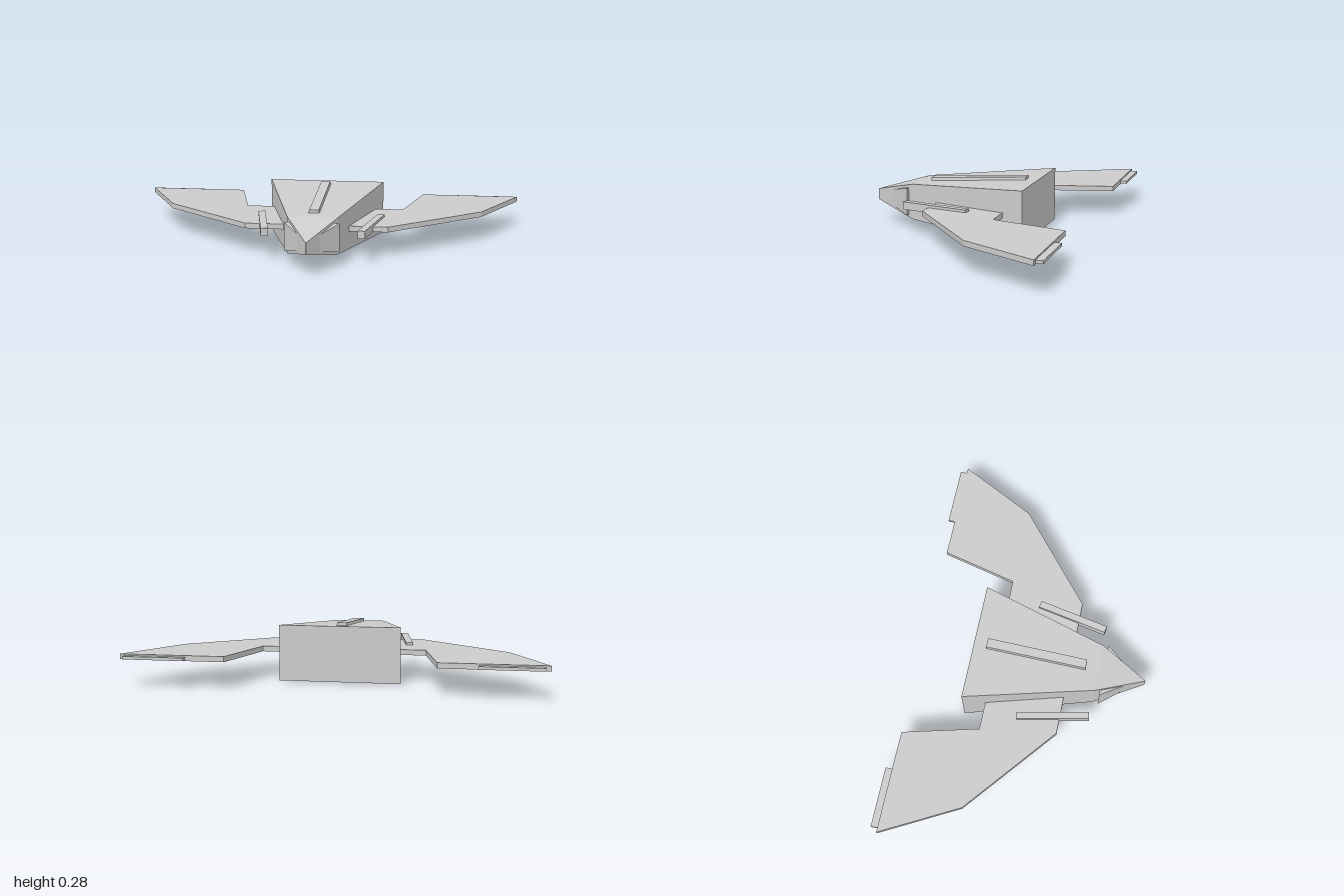
import * as THREE from 'three';

const material = new THREE.MeshStandardMaterial({ color: 0xcccccc, flatShading: true });

// Solid through four-cornered sections [z, bottom, top, xBottomLeft, xBottomRight, xTopLeft, xTopRight], back to front
function loft(sections) {
  const loops = sections.map(([z, b, t, bl, br, tl = bl, tr = br]) =>
    [[bl, b, z], [br, b, z], [tr, t, z], [tl, t, z]]);
  const positions = [];
  const quad = (a, b, c, d) => positions.push(...a, ...b, ...c, ...a, ...c, ...d);
  for (let i = 0; i < loops.length - 1; i++) {
    for (let j = 0; j < 4; j++) {
      const k = (j + 1) % 4;
      quad(loops[i][j], loops[i][k], loops[i + 1][k], loops[i + 1][j]);
    }
  }
  const back = loops[0], front = loops[loops.length - 1];
  quad(back[0], back[3], back[2], back[1]);
  quad(...front);
  const geometry = new THREE.BufferGeometry();
  geometry.setAttribute('position', new THREE.Float32BufferAttribute(positions, 3));
  geometry.computeVertexNormals();
  return geometry;
}

// Flat plate from a plan outline of [x, z] points
function plate(points, y, thickness) {
  const shape = new THREE.Shape(points.map(([x, z]) => new THREE.Vector2(x, -z)));
  const geometry = new THREE.ExtrudeGeometry(shape, { depth: thickness, bevelEnabled: false });
  return geometry.rotateX(-Math.PI / 2).translate(0, y, 0);
}

export function createModel() {
  const model = new THREE.Group();
  model.name = 'spacecraft';
  const add = (name, geometry) => {
    const mesh = new THREE.Mesh(geometry, material);
    mesh.name = name;
    model.add(mesh);
    return mesh;
  };

  // Wedge fuselage with a sharp vertical nose edge
  add('fuselage', loft([
    [-0.287, 0.005, 0.275, -0.295, 0.295],
    [0.34, 0.05, 0.23, -0.12, 0.12],
    [0.577, 0.112, 0.168, -0.001, 0.001],
  ]));

  // Raised strips along the top and bottom
  add('topStrip', loft([
    [-0.223, 0.262, 0.285, -0.028, 0.028, -0.023, 0.023],
    [0.275, 0.226, 0.25, -0.028, 0.028, -0.023, 0.023],
  ]));
  add('bottomStrip', loft([
    [-0.18, 0.001, 0.02, -0.018, 0.018, -0.022, 0.022],
    [0.232, 0.033, 0.052, -0.018, 0.018, -0.022, 0.022],
  ]));

  for (const [side, s] of [['left', 1], ['right', -1]]) {
    const mirror = (points) => points.map(([x, z]) => [s * x, z]);

    // Swept wing and its trailing flap
    add(side + 'Wing', plate(mirror([
      [0.1, 0.195], [0.35, 0.195], [0.803, -0.177], [1, -0.55],
      [0.495, -0.55], [0.403, -0.18], [0.1, -0.18],
    ]), 0.129, 0.026));
    add(side + 'Flap', plate(mirror([
      [0.682, -0.54], [0.977, -0.54], [0.977, -0.584], [0.682, -0.584],
    ]), 0.134, 0.014));

    // Bar on the wing root, toed inwards towards the nose
    const bar = add(side + 'Bar', new THREE.BoxGeometry(0.035, 0.038, 0.358));
    bar.position.set(s * 0.267, 0.149, 0.16);
    bar.rotation.y = -s * 0.2;

    // Tapered cheek panel beside the nose
    const span = (inner, outer) => [Math.min(s * inner, s * outer), Math.max(s * inner, s * outer)];
    add(side + 'CheekPanel', loft([
      [0.365, 0.07, 0.21, ...span(0.08, 0.132)],
      [0.485, 0.101, 0.177, ...span(0.02, 0.045)],
    ]));
  }
  return model;
}
